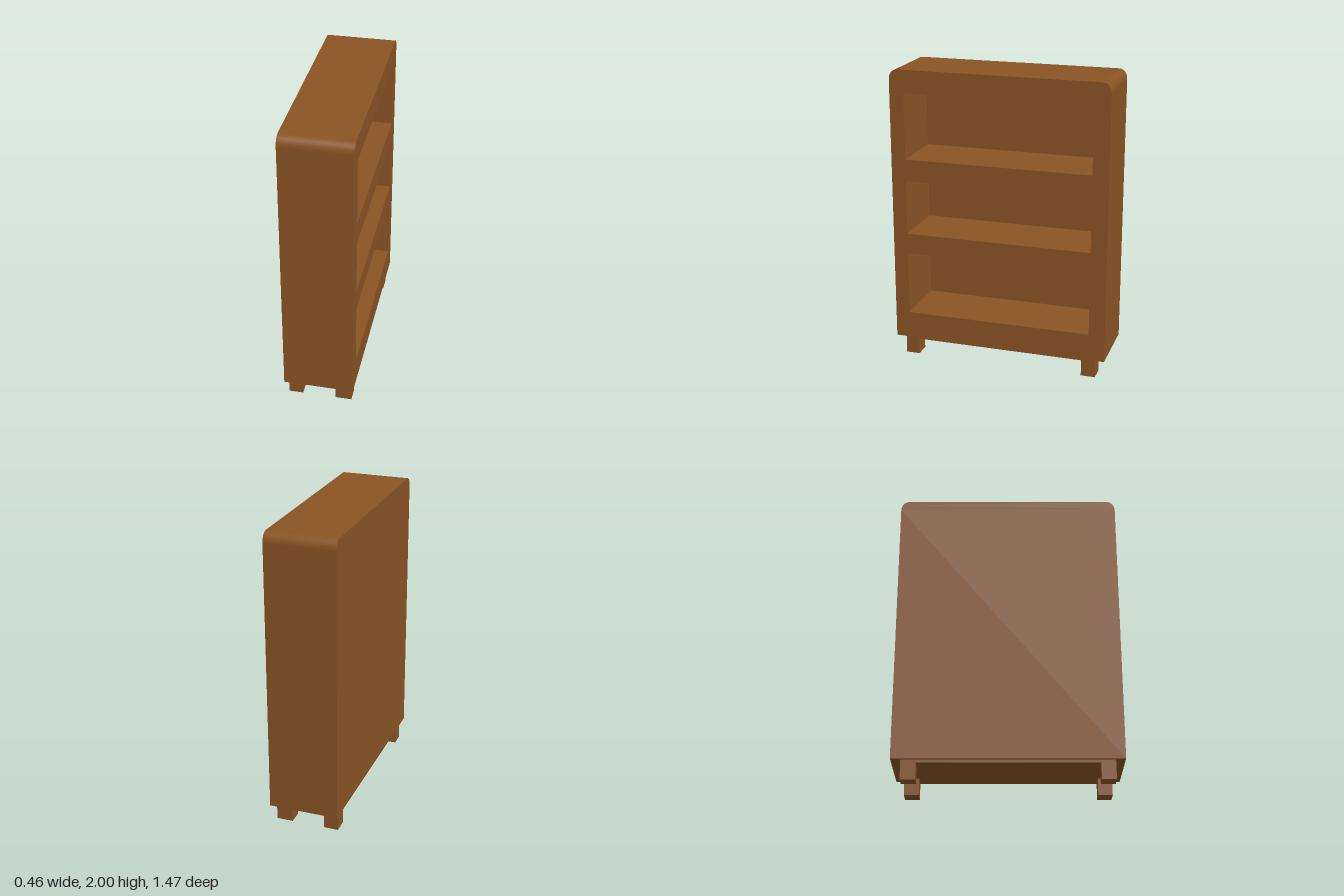
import * as THREE from 'three';

const wood = new THREE.MeshStandardMaterial({ color: 0x8a5424 });
wood.name = 'brown wood';

const BOTTOM = 0.13, TOP = 2, HALF_LENGTH = 0.735;
const BACK_X = -0.2325, INNER_X = -0.18, FRONT_X = 0.2325;

// Case outline with rounded top corners; shape x runs along -z
function caseOutline() {
  const rx = 0.055, ry = 0.065, w = HALF_LENGTH;
  const s = new THREE.Shape();
  s.moveTo(-w, BOTTOM);
  s.lineTo(w, BOTTOM);
  s.lineTo(w, TOP - ry);
  s.absellipse(w - rx, TOP - ry, rx, ry, 0, Math.PI / 2, false, 0);
  s.lineTo(-w + rx, TOP);
  s.absellipse(-w + rx, TOP - ry, rx, ry, Math.PI / 2, Math.PI, false, 0);
  s.closePath();
  return s;
}

// Extrude a side outline along x, from x0 to x1
function slab(name, shape, x0, x1) {
  const g = new THREE.ExtrudeGeometry(shape, { depth: x1 - x0, bevelEnabled: false, curveSegments: 5 });
  g.rotateY(Math.PI / 2).translate(x0, 0, 0);
  const m = new THREE.Mesh(g, wood);
  m.name = name;
  return m;
}

// Box given by its minimum and maximum on each axis
function box(name, [x0, x1], [y0, y1], [z0, z1]) {
  const m = new THREE.Mesh(new THREE.BoxGeometry(x1 - x0, y1 - y0, z1 - z0), wood);
  m.position.set((x0 + x1) / 2, (y0 + y1) / 2, (z0 + z1) / 2);
  m.name = name;
  return m;
}

export function createModel() {
  const group = new THREE.Group();
  group.name = 'bookcase';

  // Shelf frame with three open compartments
  const frame = caseOutline();
  for (const [y0, y1] of [[0.313, 0.747], [0.885, 1.255], [1.403, 1.847]]) {
    const hole = new THREE.Path();
    hole.moveTo(-0.637, y0);
    hole.lineTo(-0.637, y1);
    hole.lineTo(0.627, y1);
    hole.lineTo(0.627, y0);
    hole.closePath();
    frame.holes.push(hole);
  }
  group.add(slab('shelfFrame', frame, INNER_X, FRONT_X));
  group.add(slab('backPanel', caseOutline(), BACK_X, INNER_X));

  // Base plate and four feet
  group.add(box('basePlate', [-0.214, 0.21], [0.11, BOTTOM], [-0.67, 0.673]));
  for (const x of [[-0.215, -0.12], [0.102, 0.211]])
    for (const z of [[-0.671, -0.575], [0.581, 0.674]])
      group.add(box('foot', x, [0, BOTTOM], z));

  return group;
}
